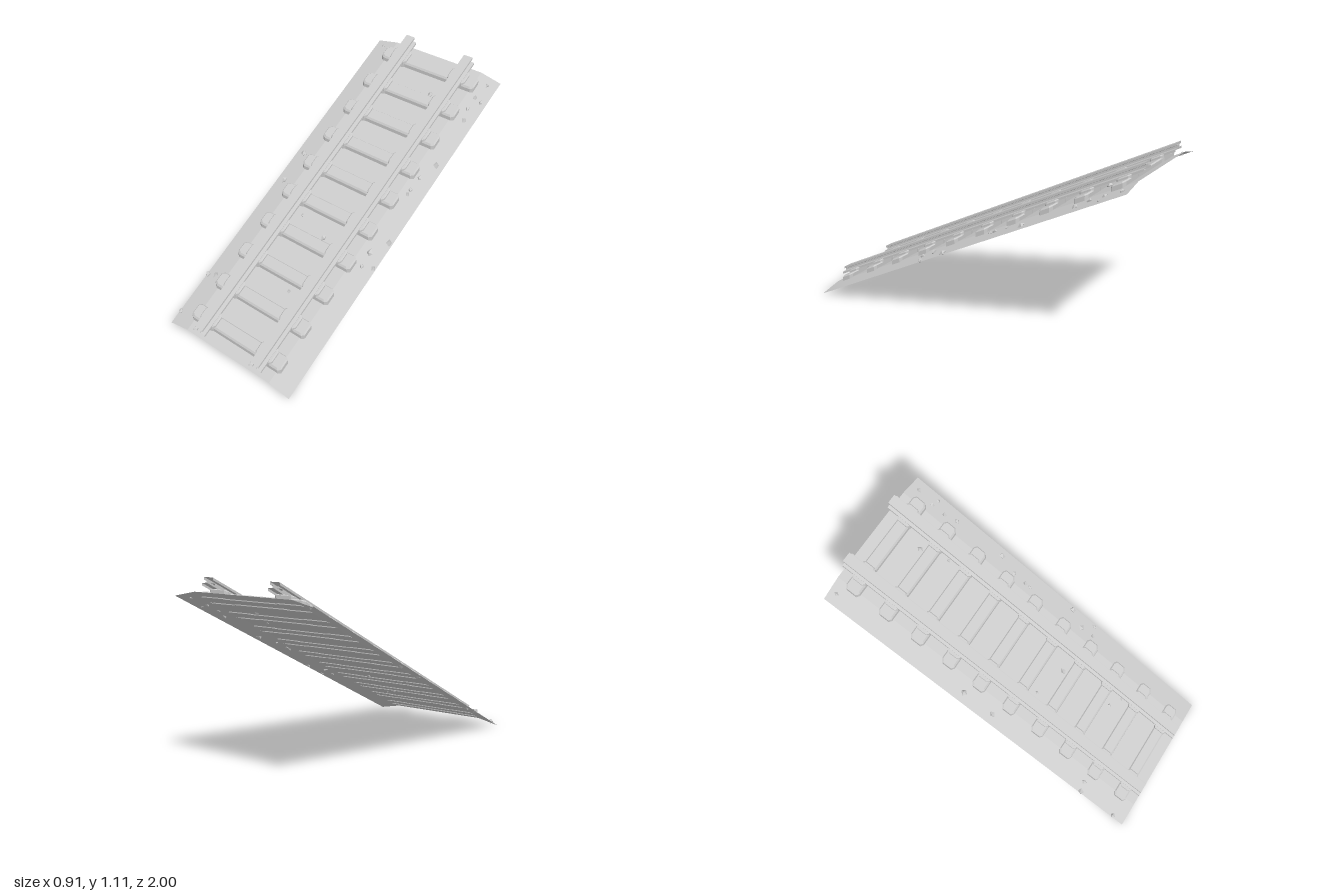
import * as THREE from 'three';

// Everything is laid out flat, then sheared up the ramp.
function slope(geo) {
  const g = geo.index ? geo.toNonIndexed() : geo;
  const p = g.attributes.position;
  for (let i = 0; i < p.count; i++) p.setY(i, p.getY(i) + 0.5 * (1 - p.getZ(i)));
  g.computeVertexNormals();
  return g;
}

function fromTriangles(list) {
  const g = new THREE.BufferGeometry();
  g.setAttribute('position', new THREE.Float32BufferAttribute(list.flat(), 3));
  return g;
}

// Sweep an open profile of [x, y] points along z.
function sweep(profile, cx = 0) {
  const tris = [];
  for (let i = 0; i < profile.length - 1; i++) {
    const [x0, y0] = profile[i], [x1, y1] = profile[i + 1];
    const a = [cx + x0, y0, 1], b = [cx + x1, y1, 1], c = [cx + x1, y1, -1], d = [cx + x0, y0, -1];
    tris.push(a, b, c, a, c, d);
  }
  return slope(fromTriangles(tris));
}

// Stack an outline of [x, z] points through levels of [inset, y], closed at the top.
function loft(outline, levels, cx, cz) {
  const rings = levels.map(([inset, y]) => outline.map(([x, z]) =>
    [cx + x - Math.sign(x) * inset, y, cz + z - Math.sign(z) * inset]));
  const tris = [], n = outline.length;
  for (let l = 0; l < rings.length - 1; l++) {
    for (let i = 0; i < n; i++) {
      const j = (i + 1) % n, r = rings[l], s = rings[l + 1];
      tris.push(r[i], r[j], s[j], r[i], s[j], s[i]);
    }
  }
  const top = rings[rings.length - 1];
  const flat = top.map(([x, , z]) => new THREE.Vector2(x, -z));
  for (const f of THREE.ShapeUtils.triangulateShape(flat, [])) tris.push(top[f[0]], top[f[1]], top[f[2]]);
  return slope(fromTriangles(tris));
}

// Turn one quadrant of points into a full symmetric outline.
function fourWay(quarter) {
  const back = [...quarter].reverse();
  return [
    ...quarter,
    ...back.map(([x, z]) => [x, -z]),
    ...quarter.map(([x, z]) => [-x, -z]),
    ...back.map(([x, z]) => [-x, z]),
  ];
}

export function createModel() {
  const model = new THREE.Group();
  const grey = new THREE.MeshStandardMaterial({ color: 0xcccccc, side: THREE.DoubleSide, flatShading: true });
  grey.name = 'plain grey';
  const add = (name, geo) => {
    const mesh = new THREE.Mesh(geo, grey);
    mesh.name = name;
    model.add(mesh);
  };

  // Ballast bed: thin sheet with drooping shoulders
  add('ballastBed', sweep([[-0.45, 0.01], [-0.312, 0.039], [0.312, 0.039], [0.45, 0.01]]));

  // Rails: open-ended head, web and foot
  const half = [[0.044, 0.073], [0.044, 0.086], [0.014, 0.089], [0.014, 0.101], [0.03, 0.104], [0.03, 0.117]];
  const railProfile = [...half.map(([x, y]) => [-x, y]), ...[...half].reverse()];
  for (const side of [-1, 1]) add(side > 0 ? 'leftRail' : 'rightRail', sweep(railProfile, side * 0.212));

  // Sleepers with a narrower waist, and a chair under each rail
  const sleeperOutline = fourWay([[0.16, 0.034], [0.18, 0.04], [0.32, 0.04], [0.338, 0.028]]);
  const chairOutline = fourWay([[0.046, 0.04], [0.061, 0.027]]);
  for (let i = 0; i < 10; i++) {
    const z = 0.9 - i * 0.2;
    add('sleeper', loft(sleeperOutline, [[0, 0.034], [0, 0.06], [0.007, 0.068]], 0, z));
    for (const side of [-1, 1]) {
      add('railChair', loft(chairOutline, [[0, 0.06], [0, 0.078], [0.006, 0.084]], side * 0.213, z));
    }
  }

  // Loose stones: [x, z, radius]
  const stones = [
    [-0.39, -0.96, 0.012], [0.39, -0.95, 0.014], [0.37, -0.85, 0.014], [0.415, -0.84, 0.012],
    [0.37, -0.77, 0.014], [0.39, -0.7, 0.016], [0.11, -0.76, 0.018], [0.165, -0.61, 0.012],
    [0.405, -0.4, 0.019], [0.365, -0.29, 0.014], [0.36, -0.21, 0.015], [0.36, -0.18, 0.013],
    [-0.395, -0.15, 0.02], [-0.395, 0.04, 0.018], [0.43, 0.09, 0.019], [0.37, 0.19, 0.02],
    [0.375, 0.27, 0.014], [0.435, 0.245, 0.015], [-0.13, 0.18, 0.01], [0.075, 0.24, 0.018],
    [0.09, 0.57, 0.012], [0.165, 0.61, 0.01], [-0.44, 0.69, 0.019], [-0.385, 0.68, 0.018],
    [-0.44, 0.925, 0.016],
  ];
  stones.forEach(([x, z, r], i) => {
    const ground = 0.039 - Math.max(0, Math.abs(x) - 0.312) * 0.21;
    const geo = new THREE.OctahedronGeometry(r);
    geo.rotateX(i * 1.3).rotateZ(i * 2.1).translate(x, ground + r * 0.2, z);
    add('stone', slope(geo));
  });

  return model;
}
